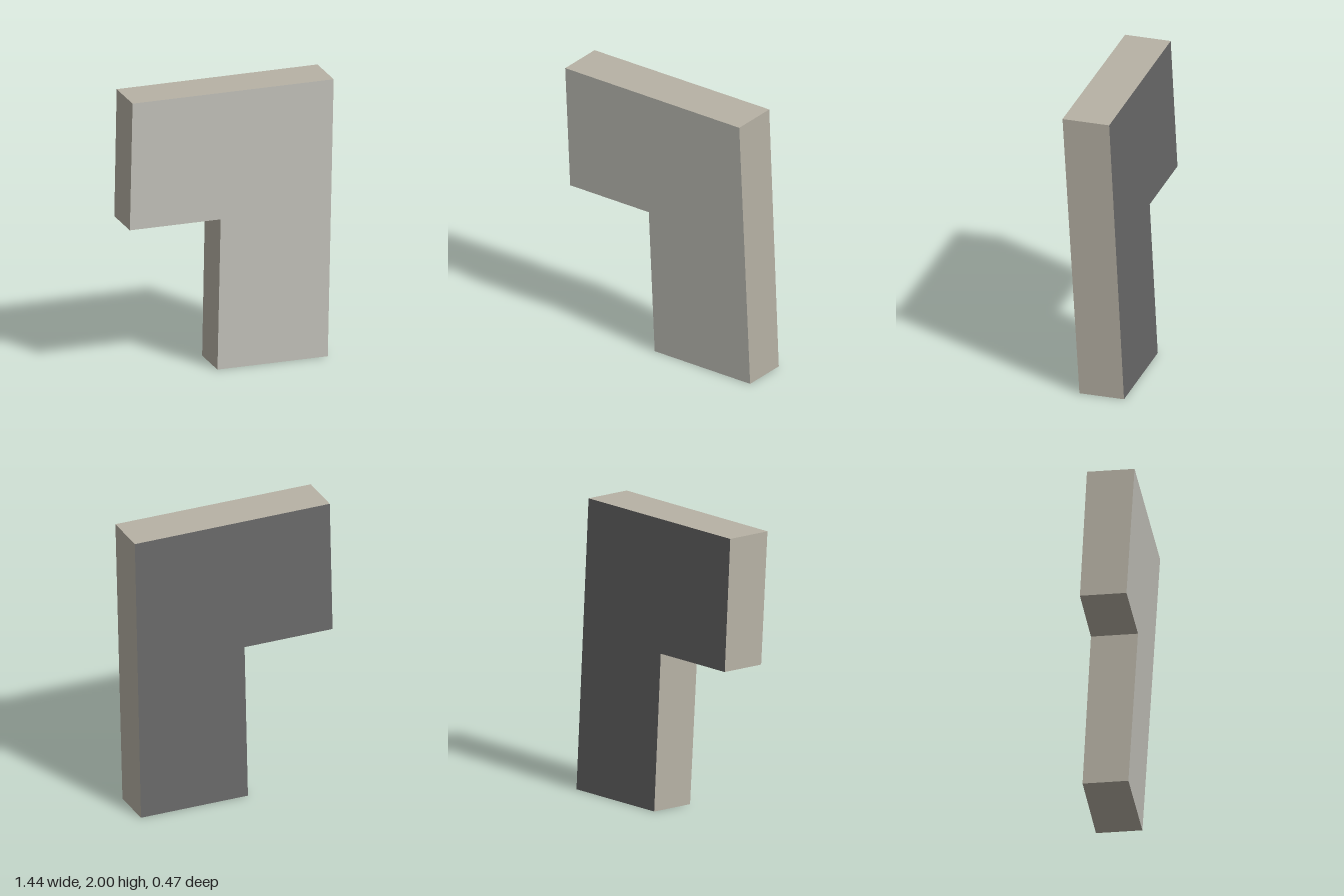
import * as THREE from 'three';

// Leaning plane heights of the slab's two broad faces
const frontZ = (x, y) => 0.238 - 0.027 * (x + 0.72) - 0.06 * (2 - y);
const backZ = (x, y) => -0.085 - 0.032 * (x + 0.72) - 0.0525 * (2 - y);

export function createModel() {
  const group = new THREE.Group();
  group.name = 'leaningSlab';

  // L-shaped outline: wide head on a narrower leg
  const outline = new THREE.Shape([
    [-0.07, 0], [0.722, 0], [0.722, 2], [-0.722, 2], [-0.722, 1.085], [-0.07, 1.085],
  ].map(([x, y]) => new THREE.Vector2(x, y)));

  const geometry = new THREE.ExtrudeGeometry(outline, { depth: 1, bevelEnabled: false });

  // Tilt the broad faces onto their planes
  const p = geometry.attributes.position;
  for (let i = 0; i < p.count; i++) {
    const x = p.getX(i), y = p.getY(i);
    p.setZ(i, p.getZ(i) < 0.5 ? backZ(x, y) : frontZ(x, y));
  }
  geometry.computeVertexNormals();

  // Separate colours for back, front and edges (each cap has 4 triangles)
  geometry.clearGroups();
  geometry.addGroup(0, 12, 0);
  geometry.addGroup(12, 12, 1);
  geometry.addGroup(24, p.count - 24, 2);
  const materials = [0x686868, 0xc6c5bd, 0xb7b2a5].map(
    (color) => new THREE.MeshStandardMaterial({ color }));

  const slab = new THREE.Mesh(geometry, materials);
  slab.name = 'slab';
  group.add(slab);
  return group;
}
